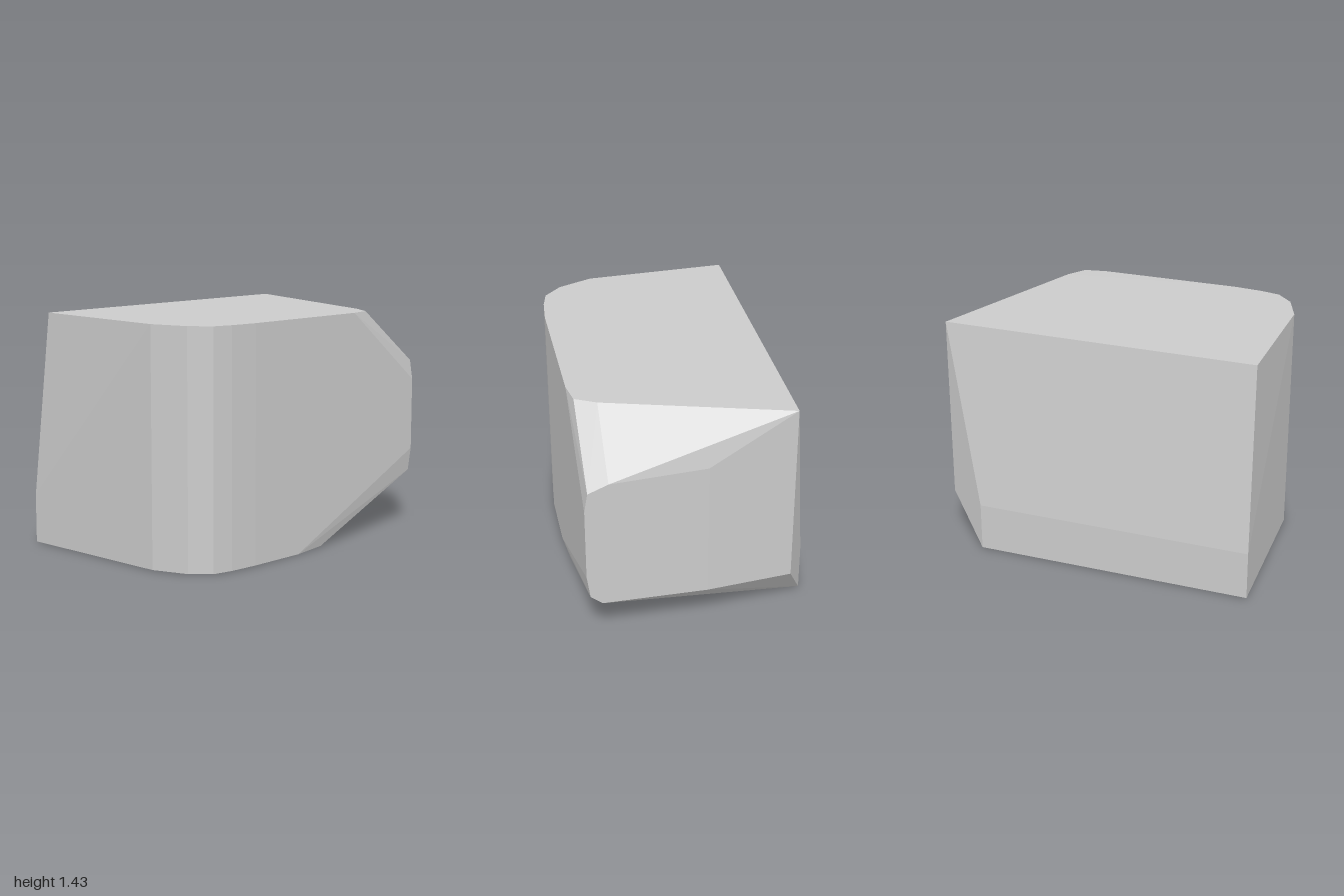
import * as THREE from 'three';
import { ConvexGeometry } from 'three/addons/geometries/ConvexGeometry.js';

export function createModel() {
  const group = new THREE.Group();
  const points = [];
  const add = (x, y, z) => points.push(new THREE.Vector3(x, y, z));

  // Rounded front-left corner, running from the base to the top
  const corner = [[-0.96, 0.32], [-0.88, 0.53], [-0.78, 0.635], [-0.66, 0.663], [-0.48, 0.68]];
  for (const [x, z] of corner) {
    add(x, 0.005, z);
    add(x, 1.425 - 0.012 * z, z);
  }

  // Back: upright band below, sloping forward above
  for (const x of [-1, 0.71]) {
    add(x, 0.005, -0.68);
    add(x, 0.3, -0.68);
  }
  add(-0.975, 1.43, -0.55);
  add(0.95, 1.43, -0.55);
  add(0.95, 0.3, -0.55);

  // Right side
  add(1, 0.3, -0.03);
  add(1, 1.15, -0.03);
  add(1, 0.3, 0.59);
  add(1, 0.355, 0.66);
  add(1, 0.5, 0.68);
  add(1, 0.95, 0.68);

  // Upper right bevel
  add(1, 1.07, 0.66);
  add(1, 1.12, 0.54);
  add(0.4, 1.415, 0.68);
  add(0.54, 1.415, 0.655);
  add(0.61, 1.417, 0.53);

  // Lower right bevel
  add(-0.1, 0, 0.68);
  add(0.13, 0.005, 0.66);

  const block = new THREE.Mesh(
    new ConvexGeometry(points),
    new THREE.MeshStandardMaterial({ color: 0xcccccc, flatShading: true })
  );
  block.name = 'bevelledBlock';
  group.add(block);
  return group;
}
